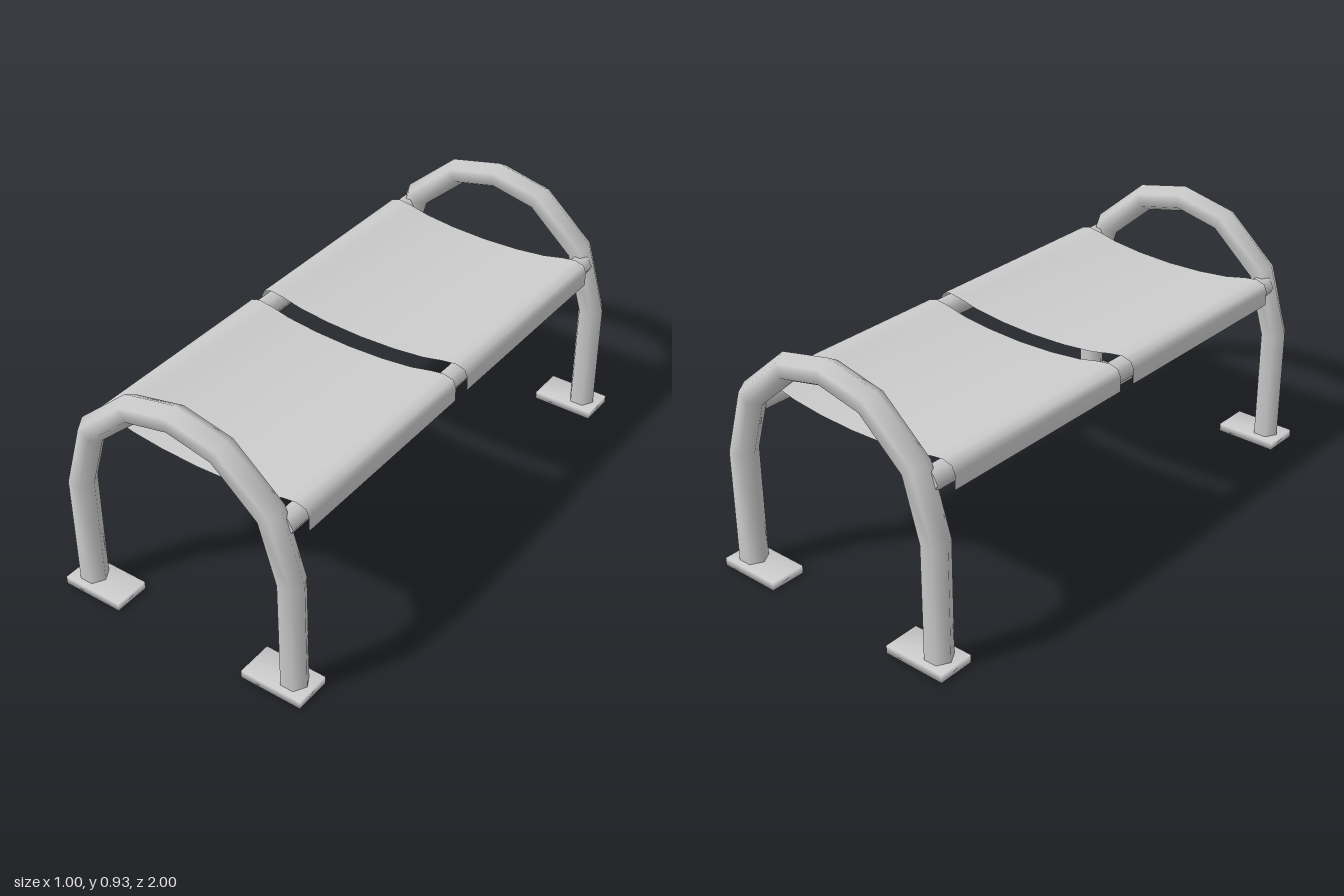
import * as THREE from 'three';
import { mergeVertices } from 'three/addons/utils/BufferGeometryUtils.js';

const metal = new THREE.MeshStandardMaterial({ color: 0xcccccc });
const fabric = new THREE.MeshStandardMaterial({ color: 0xcccccc, side: THREE.DoubleSide });

// Smooth surface through rows of points; closed joins each row into a ring
function loft(rows, closed) {
  const n = rows[0].length;
  const index = [];
  for (let i = 0; i < rows.length - 1; i++) {
    for (let j = 0; j < (closed ? n : n - 1); j++) {
      const k = (j + 1) % n;
      const a = i * n + j, b = i * n + k, c = a + n, d = b + n;
      index.push(a, b, c, b, d, c);
    }
  }
  const geo = new THREE.BufferGeometry();
  geo.setAttribute('position', new THREE.Float32BufferAttribute(rows.flat(2), 3));
  geo.setIndex(index);
  geo.computeVertexNormals();
  return geo;
}

// Mirrors a half profile (from the +x side to x = 0) over to the -x side
const mirrorHalf = (half, flip) => [...half, ...half.slice(0, -1).reverse().map(flip)];

// Six-sided bent tube; stations are x, y and the outward angle in degrees
function archGeometry() {
  const half = [[0.43, 0.02, 0], [0.43, 0.455, 0], [0.36, 0.688, 35], [0.18, 0.845, 66], [0, 0.884, 90]];
  const stations = mirrorHalf(half, ([x, y, a]) => [-x, y, 180 - a]);
  const r = 0.05;
  return loft(stations.map(([x, y, deg]) => {
    const a = THREE.MathUtils.degToRad(deg);
    return Array.from({ length: 6 }, (_, j) => {
      const t = -j * Math.PI / 3;
      const out = r * Math.cos(t);
      return [x + out * Math.cos(a), y + out * Math.sin(a), r * Math.sin(t)];
    });
  }), true);
}

// Gently sagging sheet with a flap hanging outside each rail
function slingGeometry(length) {
  const half = [[0.437, 0.6], [0.437, 0.655], [0.425, 0.68], [0.39, 0.69],
    [0.34, 0.683], [0.26, 0.665], [0.14, 0.652], [0, 0.647]];
  const profile = mirrorHalf(half, ([x, y]) => [-x, y]).reverse();
  return loft(profile.map(([x, y]) => [[x, y, -length / 2], [x, y, length / 2]]), false);
}

// Foot plate with softly shaded edges
function footGeometry() {
  const box = new THREE.BoxGeometry(0.236, 0.03, 0.136);
  box.deleteAttribute('normal');
  box.deleteAttribute('uv');
  const geo = mergeVertices(box);
  geo.computeVertexNormals();
  return geo;
}

export function createModel() {
  const model = new THREE.Group();
  const add = (name, geo, mat, x, y, z) => {
    const mesh = new THREE.Mesh(geo, mat);
    mesh.name = name;
    mesh.position.set(x, y, z);
    model.add(mesh);
  };

  const arch = archGeometry();
  const sling = slingGeometry(0.815);
  const foot = footGeometry();
  // Six-sided rail with its ridges at the sides
  const rail = new THREE.CylinderGeometry(0.041, 0.041, 1.83, 6).rotateY(Math.PI / 2).rotateX(Math.PI / 2);

  for (const end of [1, -1]) {
    const label = end > 0 ? 'front' : 'back';
    add(label + 'Arch', arch, metal, 0, 0, end * 0.933);
    add(label + 'Sling', sling, fabric, 0, 0, end * 0.4425);
    for (const side of [1, -1]) {
      add(label + (side > 0 ? 'Left' : 'Right') + 'Foot', foot, metal, side * 0.382, 0.015, end * 0.932);
    }
  }

  // Long rails carrying the slings between the arches
  for (const side of [1, -1]) {
    add((side > 0 ? 'left' : 'right') + 'Rail', rail, metal, side * 0.386, 0.642, 0);
  }
  return model;
}
